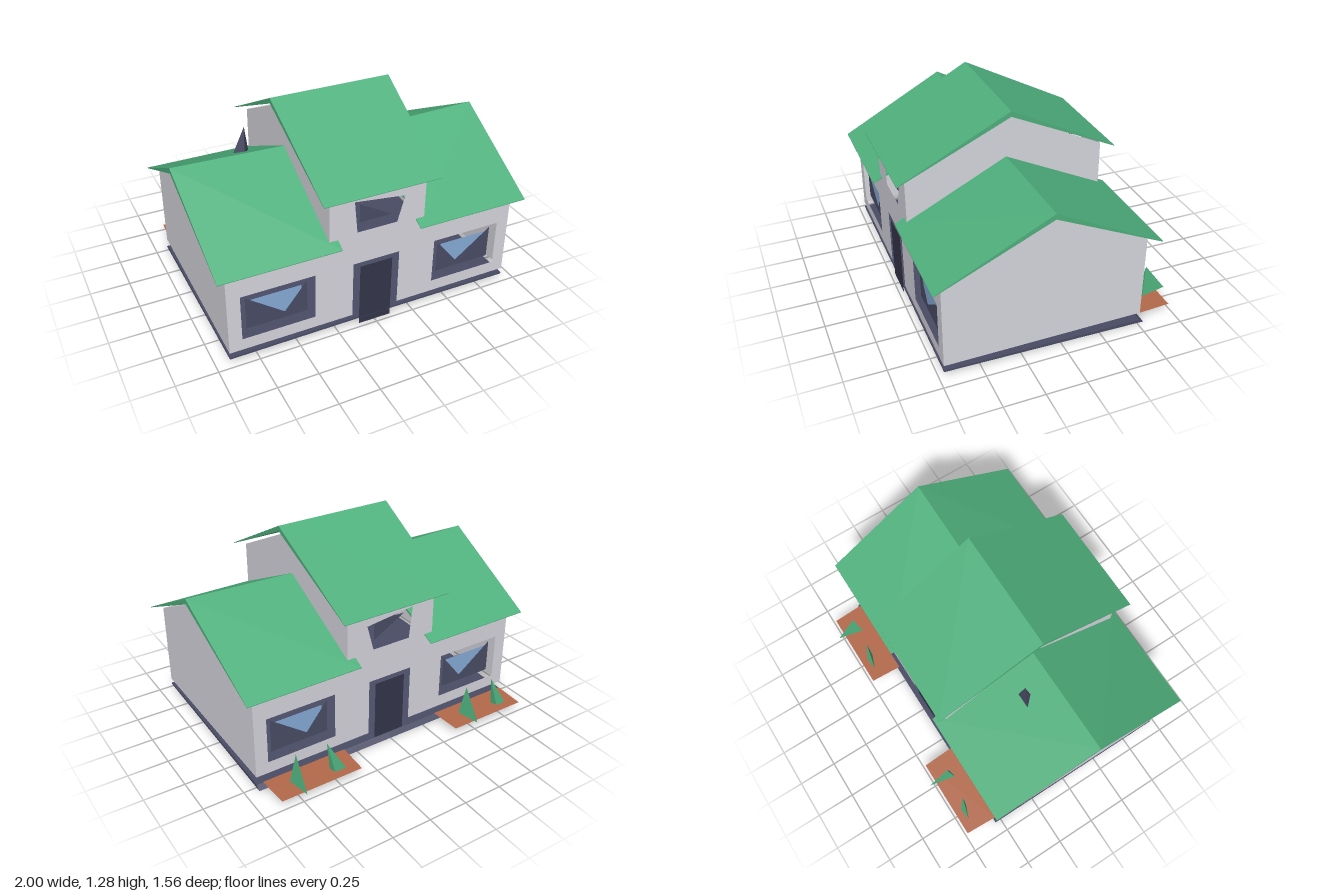
import * as THREE from 'three';
import { ConvexGeometry } from 'three/addons/geometries/ConvexGeometry.js';

const mat = (name, color, side = THREE.FrontSide) => {
  const m = new THREE.MeshStandardMaterial({ color, side });
  m.name = name;
  return m;
};

export function createModel() {
  const house = new THREE.Group();
  house.name = 'house';
  const wall = mat('wall pale grey', 0xd6d6de, THREE.DoubleSide);
  const green = mat('roof green', 0x4fb07d, THREE.DoubleSide);
  const slate = mat('slate', 0x4a4c65, THREE.DoubleSide);
  const dark = mat('door dark', 0x34354a, THREE.DoubleSide);
  const glass = mat('glass blue', 0x86acd8, THREE.DoubleSide);
  const soil = mat('soil brown', 0xb4694a, THREE.DoubleSide);

  const add = (name, geo, material, parent = house) => {
    const m = new THREE.Mesh(geo, material);
    m.name = name;
    parent.add(m);
    return m;
  };
  const pts = (list) => list.map(([x, y]) => new THREE.Vector2(x, y));
  const rect = (x0, y0, x1, y1) => [[x0, y0], [x1, y0], [x1, y1], [x0, y1]];
  const sheet = (outline, holes = []) => {
    const s = new THREE.Shape(pts(outline));
    for (const h of holes) s.holes.push(new THREE.Path(pts(h)));
    return new THREE.ShapeGeometry(s);
  };
  const hull = (list) => new ConvexGeometry(list.map((p) => new THREE.Vector3(...p)));

  const FRONT = 0.72, BACK = -0.51, RIDGE = 0.105;

  // Front and back walls: wide ground floor, narrow upper floor, openings
  const facade = [
    [-0.92, 0.08], [-0.15, 0.08], [-0.15, 0.45], [0.15, 0.45], [0.15, 0.08], [0.92, 0.08],
    [0.92, 0.62], [0.305, 0.62], [0.305, 0.925], [-0.305, 0.925], [-0.305, 0.62], [-0.92, 0.62],
  ];
  const openings = [
    rect(0.39, 0.155, 0.84, 0.45), rect(-0.84, 0.155, -0.39, 0.45),
    [[-0.13, 0.665], [0.125, 0.665], [0.17, 0.83], [-0.15, 0.87]],
  ];

  for (const [side, z, inward] of [['front', FRONT, -1], ['back', BACK, 1]]) {
    const face = new THREE.Group();
    face.name = `${side}Facade`;
    house.add(face);
    add(`${side}Wall`, sheet(facade, openings), wall, face).position.z = z;
    add(`${side}Door`, sheet(rect(-0.105, side === 'front' ? 0 : 0.03, 0.105, 0.42)), dark, face).position.z = z;

    // Ground floor windows: notched frame with a pane behind
    for (const s of [-1, 1]) {
      const frame = [[0.43, 0.415], [0.43, 0.2], [0.805, 0.2], [0.805, 0.415], [0.57, 0.24]];
      const pane = rect(0.46, 0.21, 0.775, 0.385);
      const flip = (list) => list.map(([x, y]) => [s * x, y]);
      add('windowFrame', sheet(flip(frame)), slate, face).position.z = z + inward * 0.025;
      add('windowPane', sheet(flip(pane)), glass, face).position.z = z + inward * 0.035;
    }

    // Upper window: half pane in each facade
    const half = side === 'front'
      ? [[-0.105, 0.83], [-0.105, 0.71], [0.105, 0.71]]
      : [[-0.105, 0.83], [0.105, 0.71], [0.105, 0.83]];
    add('upperWindow', sheet(half), slate, face).position.z = z + inward * 0.025;
  }

  // Gable walls
  const gable = (name, x, base, eave, peak) => {
    const g = sheet([[FRONT, base], [RIDGE, base], [BACK, base], [BACK, eave], [RIDGE, peak], [FRONT, eave]]);
    g.rotateY(-Math.PI / 2);
    add(name, g, wall).position.x = x;
  };
  for (const s of [-1, 1]) {
    gable('lowerGable', s * 0.92, 0.08, 0.62, 0.925);
    gable('upperGable', s * 0.305, 0.62, 0.925, 1.23);
  }

  // Roof: two slopes that are thick at the ridge and thin at the eaves
  const roof = (name, a, b, eave) => {
    // a and b: x at the eave, x at the ridge, ridge height
    for (const [part, zEave] of [['Front', 0.78], ['Back', -0.575]]) {
      const list = [];
      for (const [xe, xr, top] of [a, b]) {
        list.push([xe, eave, zEave], [xe, eave + 0.004, zEave], [xr, top, RIDGE], [xr, top - 0.035, RIDGE]);
      }
      add(name + part, hull(list), green);
    }
  };
  roof('leftRoof', [0.25, 0.25, 0.955], [0.98, 1, 0.975], 0.615);
  roof('rightRoof', [-0.25, -0.25, 0.955], [-0.98, -1, 0.975], 0.615);
  roof('upperRoof', [-0.365, -0.385, 1.282], [0.365, 0.385, 1.282], 0.922);

  // Chimney spike
  add('chimney', hull([[-0.555, 0.87, -0.09], [-0.46, 0.87, -0.09], [-0.505, 0.87, -0.03], [-0.487, 1.04, -0.07]]), slate);

  // Base slab, sloping down to the back
  const base = new THREE.BoxGeometry(1.84, 1, 1, 2, 1, 1);
  const p = base.attributes.position;
  for (let i = 0; i < p.count; i++) {
    const front = p.getZ(i) > 0, top = p.getY(i) > 0;
    const drop = Math.abs(p.getX(i)) > 0.5 ? 0.006 : 0;
    if (front) p.setXYZ(i, p.getX(i), (top ? 0.054 : 0.042) - drop, FRONT);
    else p.setXYZ(i, p.getX(i), top ? 0.026 : 0.003, top ? BACK : -0.54);
  }
  base.computeVertexNormals();
  add('baseSlab', base.toNonIndexed(), slate);

  // Flower beds behind the house, each with two pointed plants
  const bed = new THREE.Shape(pts([[-0.895, 0.53], [-0.345, 0.53], [-0.355, 0.735], [-0.885, 0.735]]));
  for (const x of [0, 1.235]) {
    const garden = new THREE.Group();
    garden.name = 'flowerBed';
    garden.position.x = x;
    house.add(garden);
    const soilGeo = new THREE.ShapeGeometry(bed);
    soilGeo.rotateX(-Math.PI / 2);
    add('soil', soilGeo, soil, garden).position.y = 0.05;
    add('leaningPlant', hull([[-0.81, 0.05, -0.68], [-0.72, 0.06, -0.645], [-0.73, 0.06, -0.69], [-0.7, 0.25, -0.65]]), green, garden);
    add('broadPlant', hull([[-0.525, 0.065, -0.61], [-0.47, 0.06, -0.62], [-0.49, 0.07, -0.78], [-0.5, 0.255, -0.645]]), green, garden);
  }
  return house;
}
